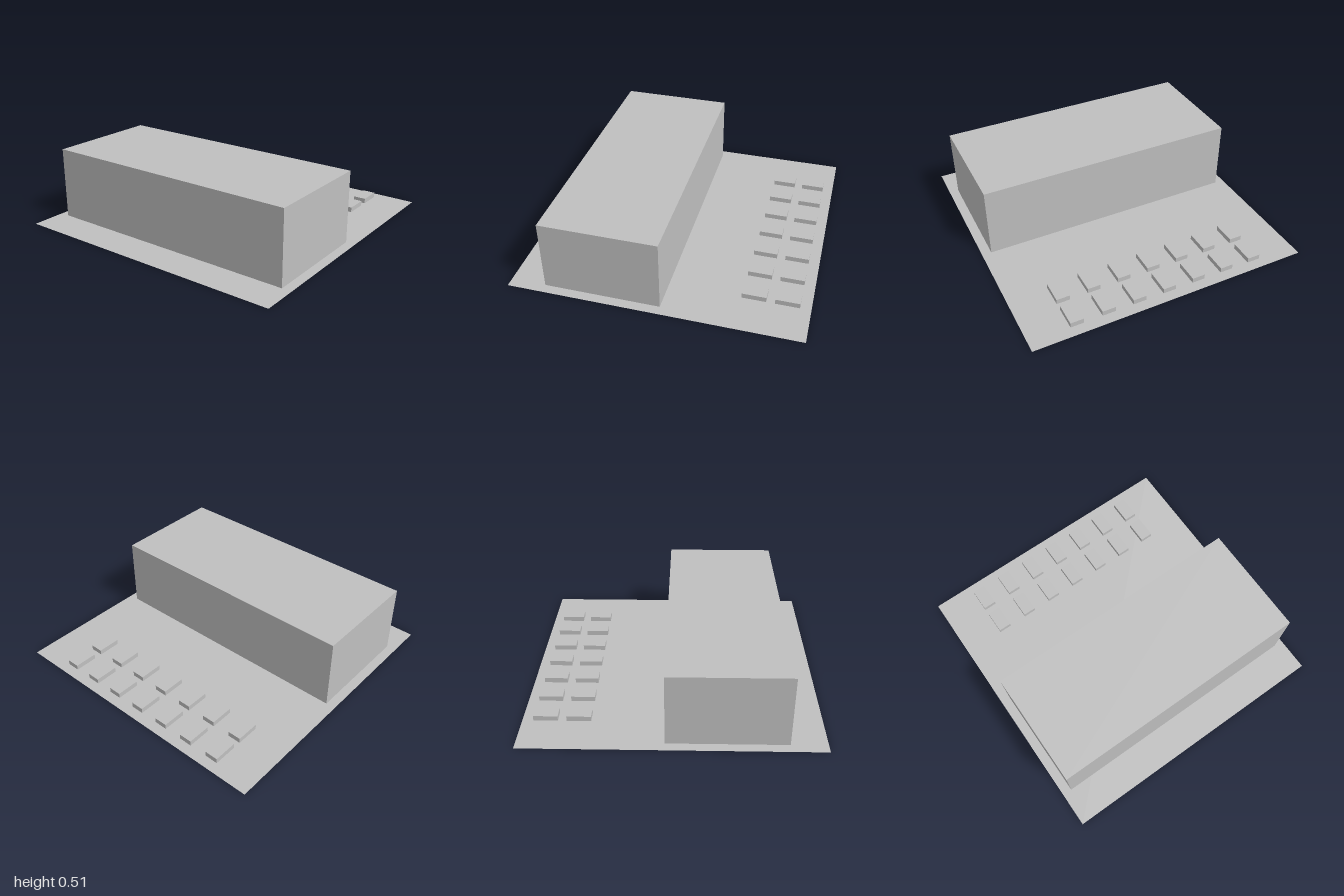
import * as THREE from 'three';

export function createModel() {
  const model = new THREE.Group();
  const lightGrey = new THREE.MeshStandardMaterial({ color: 0xbfbfbf, side: THREE.DoubleSide });
  lightGrey.name = 'lightGrey';

  // Box standing on the ground, given its footprint centre
  const addBlock = (parent, name, w, h, d, x, z) => {
    const mesh = new THREE.Mesh(new THREE.BoxGeometry(w, h, d).translate(0, h / 2, 0), lightGrey);
    mesh.name = name;
    mesh.position.set(x, 0, z);
    parent.add(mesh);
  };

  // Flat square plot
  const ground = new THREE.Mesh(new THREE.PlaneGeometry(2, 2).rotateX(-Math.PI / 2), lightGrey);
  ground.name = 'ground';
  model.add(ground);

  // Long main building
  addBlock(model, 'building', 1.866, 0.51, 0.802, 0, 0.356);

  // Two rows of seven parked cars behind the building
  const parkedCars = new THREE.Group();
  parkedCars.name = 'parkedCars';
  for (const z of [-0.844, -0.622]) {
    for (let i = -3; i <= 3; i++) {
      addBlock(parkedCars, 'parkedCar', 0.093, 0.036, 0.164, i * 0.2225, z);
    }
  }
  model.add(parkedCars);

  return model;
}
